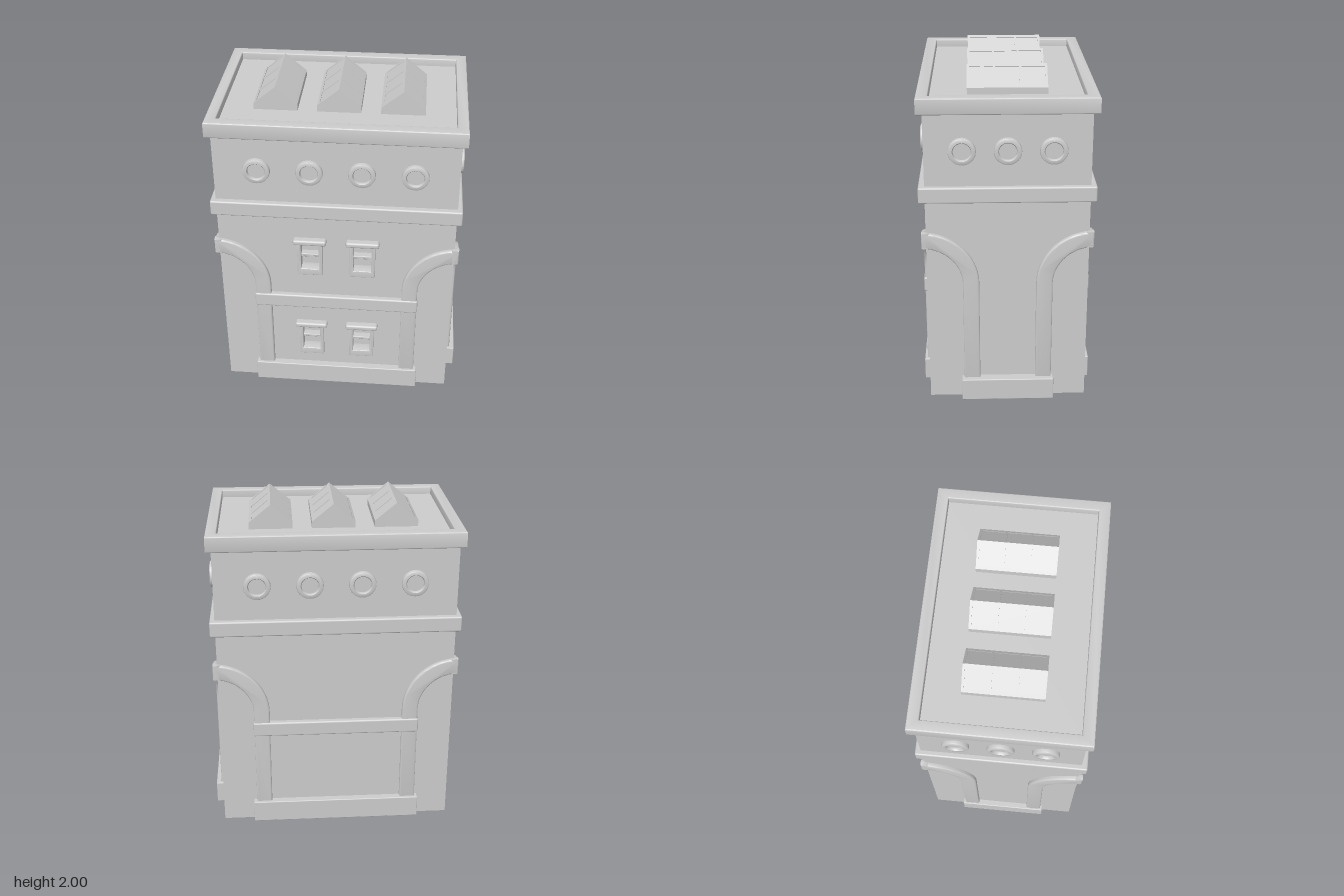
import * as THREE from 'three';
import { RoundedBoxGeometry } from 'three/addons/geometries/RoundedBoxGeometry.js';
import { toCreasedNormals } from 'three/addons/utils/BufferGeometryUtils.js';

const grey = new THREE.MeshStandardMaterial({ color: 0xcccccc });
const HW = 0.71, HD = 0.472;   // half width and half depth of the walls
const ROOF = 1.855;

function add(parent, name, geometry, x = 0, y = 0, z = 0) {
  const mesh = new THREE.Mesh(geometry, grey);
  mesh.name = name;
  mesh.position.set(x, y, z);
  parent.add(mesh);
  return mesh;
}

// Softly rounded block given by its extents
function block(parent, name, x0, x1, y0, y1, z0, z1, r = 0.008) {
  const g = new RoundedBoxGeometry(x1 - x0, y1 - y0, z1 - z0, 2, r);
  return add(parent, name, g, (x0 + x1) / 2, (y0 + y1) / 2, (z0 + z1) / 2);
}

function polygon(points) {
  return new THREE.Shape(points.map(([x, y]) => new THREE.Vector2(x, y)));
}

function rect(x0, x1, y0, y1) {
  return polygon([[x0, y0], [x1, y0], [x1, y1], [x0, y1]]);
}

// Extrusion from z = 0 to depth, with a bevel kept inside the outline
function extrude(shape, depth, bevel = 0) {
  const g = new THREE.ExtrudeGeometry(shape, {
    depth: depth - 2 * bevel, bevelEnabled: bevel > 0, bevelThickness: bevel,
    bevelSize: bevel, bevelOffset: -bevel, bevelSegments: 3,
  });
  g.translate(0, 0, bevel);
  return toCreasedNormals(g, 0.6);
}

// Pilaster that curves over into a quarter arch ending at the wall corner
function archBand(parent, side, half) {
  const corner = half + 0.026, cy = 0.77, R = 0.331, r = 0.235, n = 20;
  const points = [[R, 0.1]];
  const arc = (radius, t) => [radius * Math.cos(t), cy + radius * Math.sin(t)];
  for (let i = 0; i <= n; i++) points.push(arc(R, (i / n) * Math.PI / 2));
  for (let i = n; i >= 0; i--) points.push(arc(r, (i / n) * Math.PI / 2));
  points.push([r, 0.1]);
  const shape = polygon(points.map(([u, y]) => [side * (corner - u), y]));
  add(parent, 'archBand', extrude(shape, 0.046, 0.01), 0, 0, -0.02);
}

// Round window: raised ring with a shallow disc inside
function porthole(parent, x) {
  const profile = [[0, 0.006], [0.05, 0.006], [0.05, 0.018], [0.055, 0.025],
    [0.07, 0.025], [0.077, 0.021], [0.079, 0.014], [0.079, -0.005]];
  const g = new THREE.LatheGeometry(profile.map(([a, b]) => new THREE.Vector2(a, b)).reverse(), 32);
  g.rotateX(Math.PI / 2);
  add(parent, 'porthole', toCreasedNormals(g, 0.7), x, 1.592, 0);
}

// Sash window sunk into the wall, with frame, sill bar and lintel
function sashWindow(parent, x, y) {
  const w = new THREE.Group();
  w.name = 'sashWindow';
  w.position.set(x, y, 0);
  parent.add(w);
  const frame = rect(-0.077, 0.077, 0, 0.24);
  frame.holes.push(rect(-0.054, 0.054, 0.045, 0.222));
  add(w, 'windowFrame', extrude(frame, 0.075, 0.004), 0, 0, -0.05);
  add(w, 'windowPane', new THREE.PlaneGeometry(0.13, 0.2), 0, 0.13, -0.04);
  block(w, 'upperSash', -0.056, 0.056, 0.128, 0.142, -0.045, 0.002, 0.004);
  block(w, 'lowerSash', -0.056, 0.056, 0.112, 0.124, -0.045, -0.01, 0.004);
  block(w, 'lintel', -0.1, 0.1, 0.228, 0.262, -0.01, 0.043, 0.012);
}

// Gabled skylight with glazing ribs, ridge and eaves
function skylight(parent, x) {
  const s = new THREE.Group();
  s.name = 'skylight';
  s.position.x = x;
  parent.add(s);
  const gable = (hw, eave, top) => polygon(
    [[-hw, ROOF - 0.01], [hw, ROOF - 0.01], [hw, eave], [0, top], [-hw, eave]]);
  add(s, 'skylightGlass', extrude(gable(0.122, 1.892, 1.993), 0.45), 0, 0, -0.229);
  for (let i = 0; i < 4; i++) {
    add(s, 'skylightRib', extrude(gable(0.128, 1.894, 2), 0.014), 0, 0, -0.234 + i * 0.1487);
  }
  const ridge = polygon([[-0.014, 1.9884], [0, 1.975], [0.014, 1.9884], [0, 2]]);
  add(s, 'skylightRidge', extrude(ridge, 0.45), 0, 0, -0.229);
  for (const side of [-1, 1]) {
    const eave = polygon([[0.128, ROOF], [0.128, 1.894], [0.112, 1.9073], [0.112, ROOF]]
      .map(([u, y]) => [side * u, y]));
    add(s, 'skylightEave', extrude(eave, 0.45), 0, 0, -0.229);
  }
}

export function createModel() {
  const model = new THREE.Group();
  model.name = 'building';
  const house = new THREE.Group();
  house.name = 'upperBuilding';
  house.position.x = -0.01;
  model.add(house);

  const windowXs = [-0.157, 0.161], windowYs = [0.228, 0.87];

  // Four sides, each built facing +z and turned into place
  ['front', 'left', 'back', 'right'].forEach((name, i) => {
    const long = i % 2 === 0;
    const half = long ? HW : HD;
    const face = new THREE.Group();
    face.name = name + 'Side';
    face.rotation.y = i * Math.PI / 2;
    const out = long ? HD : HW;
    face.position.set(Math.sin(face.rotation.y) * out, 0, Math.cos(face.rotation.y) * out);
    house.add(face);

    const wall = rect(-half, half, 0, ROOF);
    if (name === 'front') {
      for (const x of windowXs) for (const y of windowYs) {
        wall.holes.push(rect(x - 0.065, x + 0.065, y + 0.015, y + 0.23));
        sashWindow(face, x, y);
      }
    }
    add(face, 'wall', new THREE.ShapeGeometry(wall));

    for (const side of [-1, 1]) archBand(face, side, half);
    const xs = long ? [-0.457, -0.152, 0.152, 0.457] : [-0.257, 0, 0.257];
    xs.forEach((x) => porthole(face, x));
    if (long) block(face, 'stringCourse', -0.506, 0.506, 0.614, 0.706, -0.02, 0.032, 0.01);
  });

  // Crossing plinth blocks
  block(model, 'plinthLong', -0.53, 0.51, 0, 0.14, -0.515, 0.515, 0.005);
  block(model, 'plinthWide', -0.757, 0.757, 0, 0.14, -0.277, 0.277, 0.005);

  // Cornice, parapet and roof deck
  block(house, 'cornice', -0.74, 0.74, 1.288, 1.383, -0.506, 0.508, 0.01);
  const rim = rect(-0.74, 0.74, -0.507, 0.507);
  rim.holes.push(rect(-0.676, 0.676, -0.439, 0.439));
  add(house, 'parapet', extrude(rim, 0.095, 0.007), 0, 1.808, 0).rotation.x = -Math.PI / 2;
  add(house, 'roofDeck', new THREE.BoxGeometry(1.4, 0.03, 0.92), 0, ROOF - 0.015, 0);

  for (const x of [-0.37, 0, 0.37]) skylight(house, x);
  return model;
}
